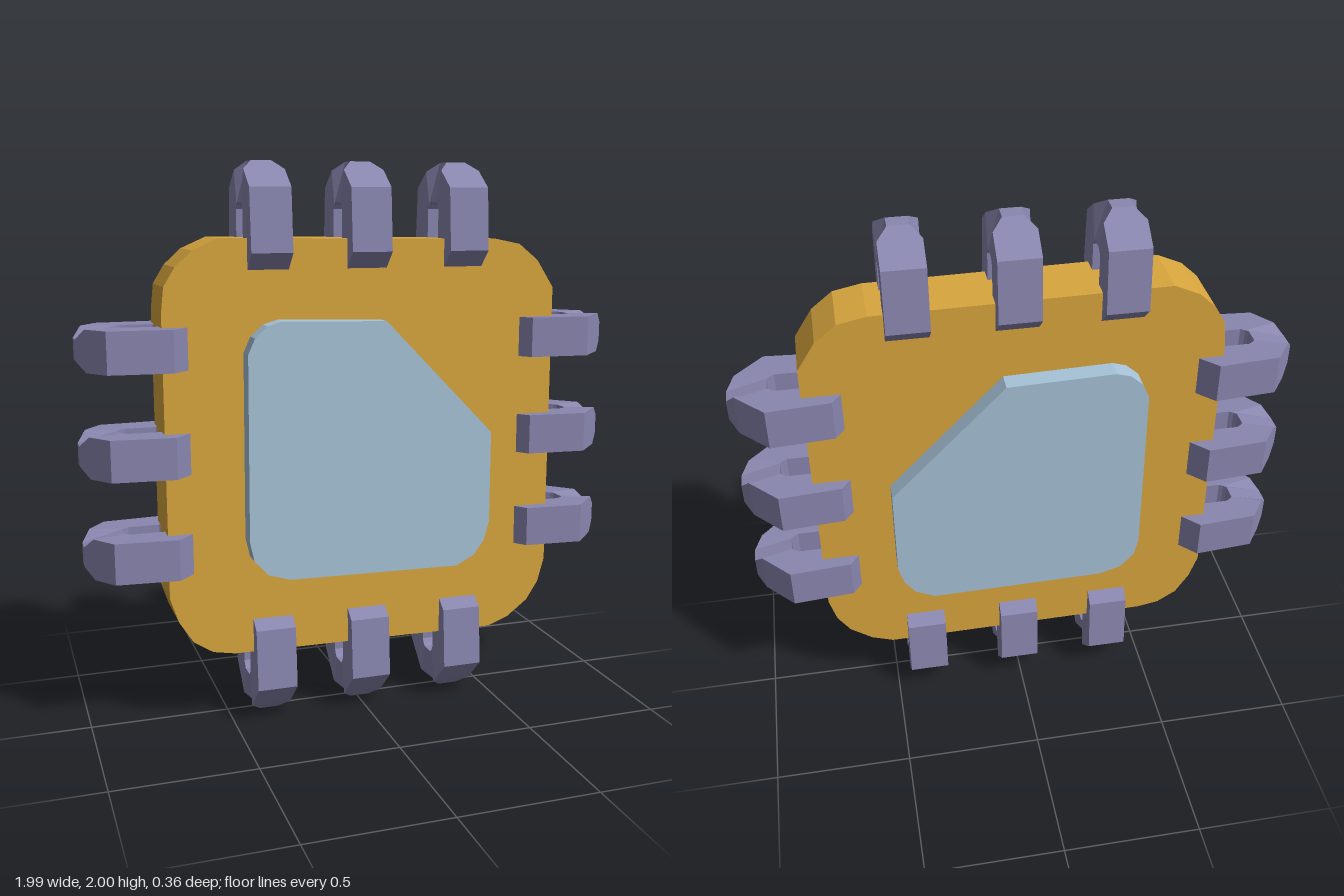
import * as THREE from 'three';

const makeMaterial = (name, color) => {
  const m = new THREE.MeshStandardMaterial({ color, flatShading: true });
  m.name = name;
  return m;
};

// Flat plate with the given outline, centred on z = 0
function plate(name, outline, thickness, material) {
  const shape = new THREE.Shape(outline.map(([x, y]) => new THREE.Vector2(x, y)));
  const geo = new THREE.ExtrudeGeometry(shape, { depth: thickness, bevelEnabled: false });
  geo.translate(0, 0, -thickness / 2);
  const mesh = new THREE.Mesh(geo, material);
  mesh.name = name;
  return mesh;
}

// Chunky closed link: its tip is at y = 0 and it runs down to y = -0.44
function linkGeometry() {
  const full = 0.073, tip = 0.036;
  // [outer depth, outer z, outer half width, inner depth, inner z]
  const half = [
    [0, 0.03, tip, 0.14, 0.03],
    [0.03, 0.072, full, 0.15, 0.04],
    [0.09, 0.155, full, 0.165, 0.05],
    [0.31, 0.172, full, 0.275, 0.05],
    [0.41, 0.065, full, 0.29, 0.04],
    [0.44, 0.03, tip, 0.3, 0.03],
  ];
  const mirrored = half.map(([d, z, w, e, v]) => [d, -z, w, e, -v]).reverse();
  const sections = [...half, ...mirrored].map(([d, z, w, e, v]) => [
    [-w, -d, z], [w, -d, z], [full, -e, v], [-full, -e, v],
  ]);
  const pos = [];
  sections.forEach((s, i) => {
    const n = sections[(i + 1) % sections.length];
    for (let k = 0; k < 4; k++) {
      const j = (k + 1) % 4;
      for (const p of [s[k], n[k], n[j], s[k], n[j], s[j]]) pos.push(...p);
    }
  });
  const geo = new THREE.BufferGeometry();
  geo.setAttribute('position', new THREE.Float32BufferAttribute(pos, 3));
  geo.computeVertexNormals();
  return geo;
}

export function createModel() {
  const gold = makeMaterial('gold', 0xd9a63e);
  const paleBlue = makeMaterial('pale blue', 0xa8c4d9);
  const violetGrey = makeMaterial('violet grey', 0x8a87b0);
  const model = new THREE.Group();
  model.name = 'chip';

  // Rounded square board
  model.add(plate('board', [
    [-0.72, 0.49], [-0.69, 0.4], [-0.64, 0.32], [-0.57, 0.275], [-0.49, 0.26],
    [0.51, 0.25], [0.59, 0.28], [0.67, 0.34], [0.715, 0.41], [0.74, 0.5],
    [0.74, 1.55], [0.675, 1.65], [0.6, 1.71], [0.5, 1.73],
    [-0.52, 1.74], [-0.61, 1.7], [-0.67, 1.645], [-0.71, 1.58], [-0.72, 1.49],
  ], 0.22, gold));

  // Core with one cut corner, standing proud on both faces
  model.add(plate('core', [
    [-0.445, 0.69], [-0.43, 0.62], [-0.38, 0.565], [-0.3, 0.54],
    [0.34, 0.53], [0.41, 0.565], [0.45, 0.62], [0.47, 0.69],
    [0.47, 1.03], [0.06, 1.45],
    [-0.32, 1.46], [-0.37, 1.445], [-0.415, 1.405], [-0.44, 1.35],
  ], 0.36, paleBlue));

  // Three pin links on each side
  const geo = linkGeometry();
  const addPin = (name, x, y, turn) => {
    const pin = new THREE.Mesh(geo, violetGrey);
    pin.name = name;
    pin.position.set(x, y, 0);
    pin.rotation.z = turn;
    model.add(pin);
  };
  [-0.348, 0.01, 0.375].forEach((offset, i) => {
    addPin(`topPin${i + 1}`, offset, 2, 0);
    addPin(`bottomPin${i + 1}`, offset, 0.44, 0);
    addPin(`rightPin${i + 1}`, -1, offset + 0.995, Math.PI / 2);
    addPin(`leftPin${i + 1}`, 0.55, offset + 0.995, Math.PI / 2);
  });
  return model;
}
